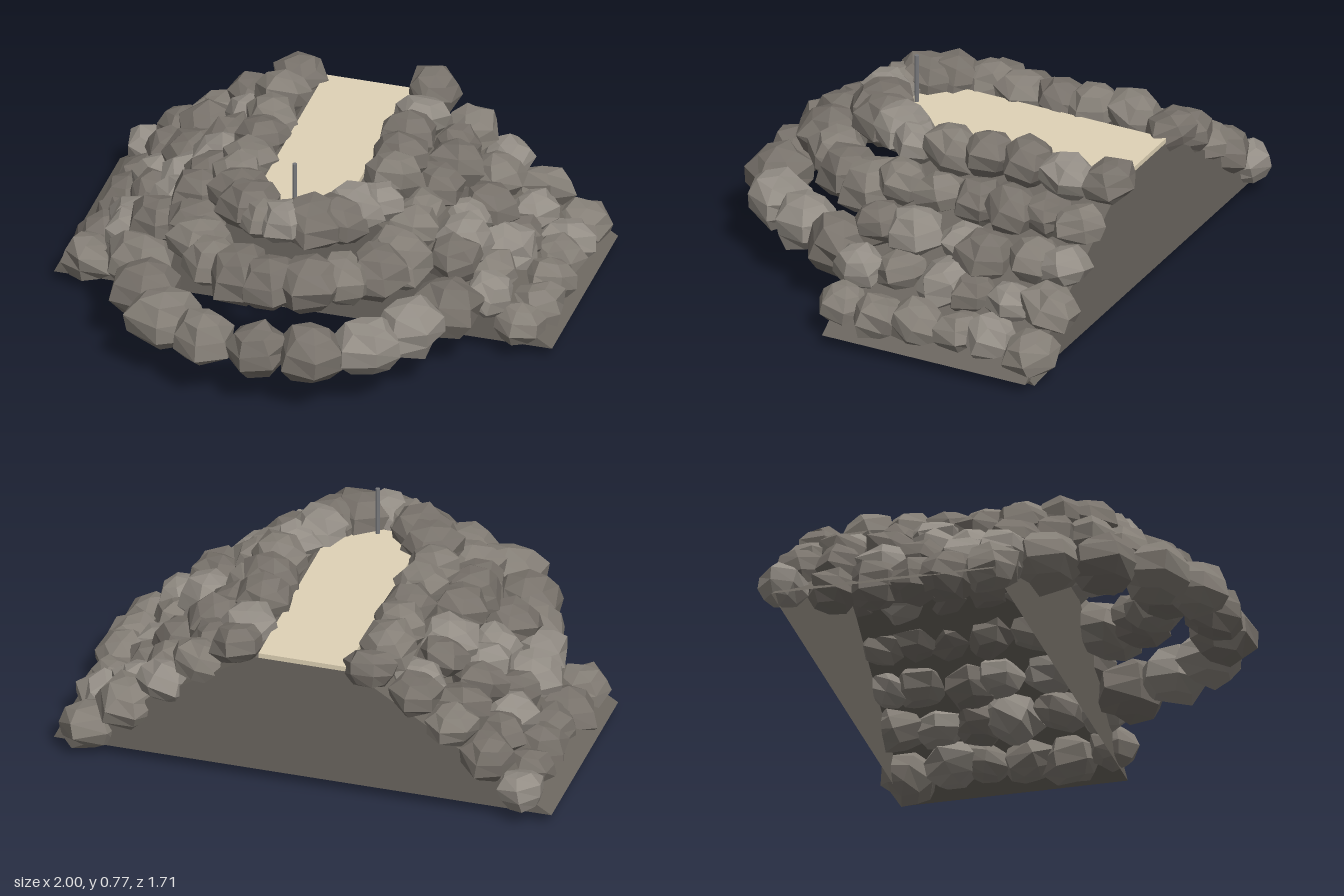
import * as THREE from 'three';

export function createModel() {
  const group = new THREE.Group();
  group.name = 'rockJetty';

  let seed = 7;
  const rand = () => (seed = (seed * 16807) % 2147483647) / 2147483647;
  const vary = (a) => (rand() * 2 - 1) * a;

  const mat = (color, extra = {}) =>
    new THREE.MeshStandardMaterial({ color, flatShading: true, ...extra });
  const rockMats = [0x938d85, 0x857f77, 0x78726b].map((c) => mat(c));

  function add(name, geometry, material, x = 0, y = 0, z = 0) {
    const mesh = new THREE.Mesh(geometry, material);
    mesh.name = name;
    mesh.position.set(x, y, z);
    group.add(mesh);
    return mesh;
  }

  // Faceted boulder: coarse sphere whose shared corners are nudged in or out
  function boulderGeometry() {
    const geo = new THREE.SphereGeometry(1, 6, 5);
    const pos = geo.attributes.position;
    const nudges = new Map();
    const v = new THREE.Vector3();
    for (let i = 0; i < pos.count; i++) {
      v.fromBufferAttribute(pos, i);
      const key = v.toArray().map((n) => Math.round(n * 100) + 0).join();
      if (!nudges.has(key)) nudges.set(key, 1.03 + vary(0.12));
      v.multiplyScalar(nudges.get(key));
      pos.setXYZ(i, v.x, v.y, v.z);
    }
    geo.computeVertexNormals();
    return geo;
  }
  const boulders = Array.from({ length: 8 }, boulderGeometry);

  function addRock(name, x, y, z, r, tilt) {
    const rock = add(name, boulders[Math.floor(rand() * 8)],
      rockMats[Math.floor(rand() * 3)], x, y, z);
    rock.scale.set(r * (1 + vary(0.08)), r * 0.76, r * (1 + vary(0.08)));
    rock.rotation.set(vary(tilt), rand() * Math.PI * 2, vary(tilt));
  }

  // Hollow earth core, open underneath: two end walls and a folded skin
  const profile = [[-1, 0.05], [-0.2, 0.55], [0.2, 0.55], [1, 0.05]];
  const coreMat = mat(0x6b665f, { side: THREE.DoubleSide });
  const endWall = new THREE.ShapeGeometry(
    new THREE.Shape(profile.map(([x, y]) => new THREE.Vector2(x, y)).reverse()));
  add('frontWall', endWall, coreMat, 0, 0, 0.1);
  add('backWall', endWall, coreMat, 0, 0, -0.78).rotation.y = Math.PI;

  const skin = new THREE.PlaneGeometry(1, 1, 3, 1);
  for (let i = 0; i < 8; i++) {
    const [x, y] = profile[i % 4];
    skin.attributes.position.setXYZ(i, x, y, i < 4 ? -0.78 : 0.1);
  }
  skin.computeVertexNormals();
  add('slopes', skin, coreMat);

  // Sandy walkway along the crest
  add('walkway', new THREE.BoxGeometry(0.355, 0.02, 1.08), mat(0xe0d3b6), 0, 0.56, -0.24);

  // Rows of boulders up both slopes
  for (const side of [-1, 1]) {
    for (let row = 0; row < 5; row++) {
      for (let i = 0; i < 6; i++) {
        addRock('slopeRock',
          side * (0.86 - row * 0.143 + vary(0.025)),
          0.12 + row * 0.114 + vary(0.018),
          -0.74 + i * 0.16 + vary(0.025),
          0.114 + vary(0.012), 0.35);
      }
    }
  }

  // Tiers of boulders curving round the head: [radius, height, count, size]
  const tiers = [
    [0.62, 0.24, 9, 0.138],
    [0.41, 0.415, 9, 0.13],
    [0.225, 0.58, 7, 0.115],
  ];
  for (const [radius, y, count, size] of tiers) {
    for (let i = 0; i < count; i++) {
      const a = (Math.PI * (i + 0.5)) / count;
      const d = radius + vary(0.012);
      addRock('headRock', Math.cos(a) * d, y + vary(0.01), 0.11 + Math.sin(a) * d,
        size + vary(0.013), 0.15);
    }
  }

  // Marker post at the tip
  add('post', new THREE.CylinderGeometry(0.009, 0.009, 0.2, 8), mat(0x77787b), 0, 0.67, 0.21);

  return group;
}
